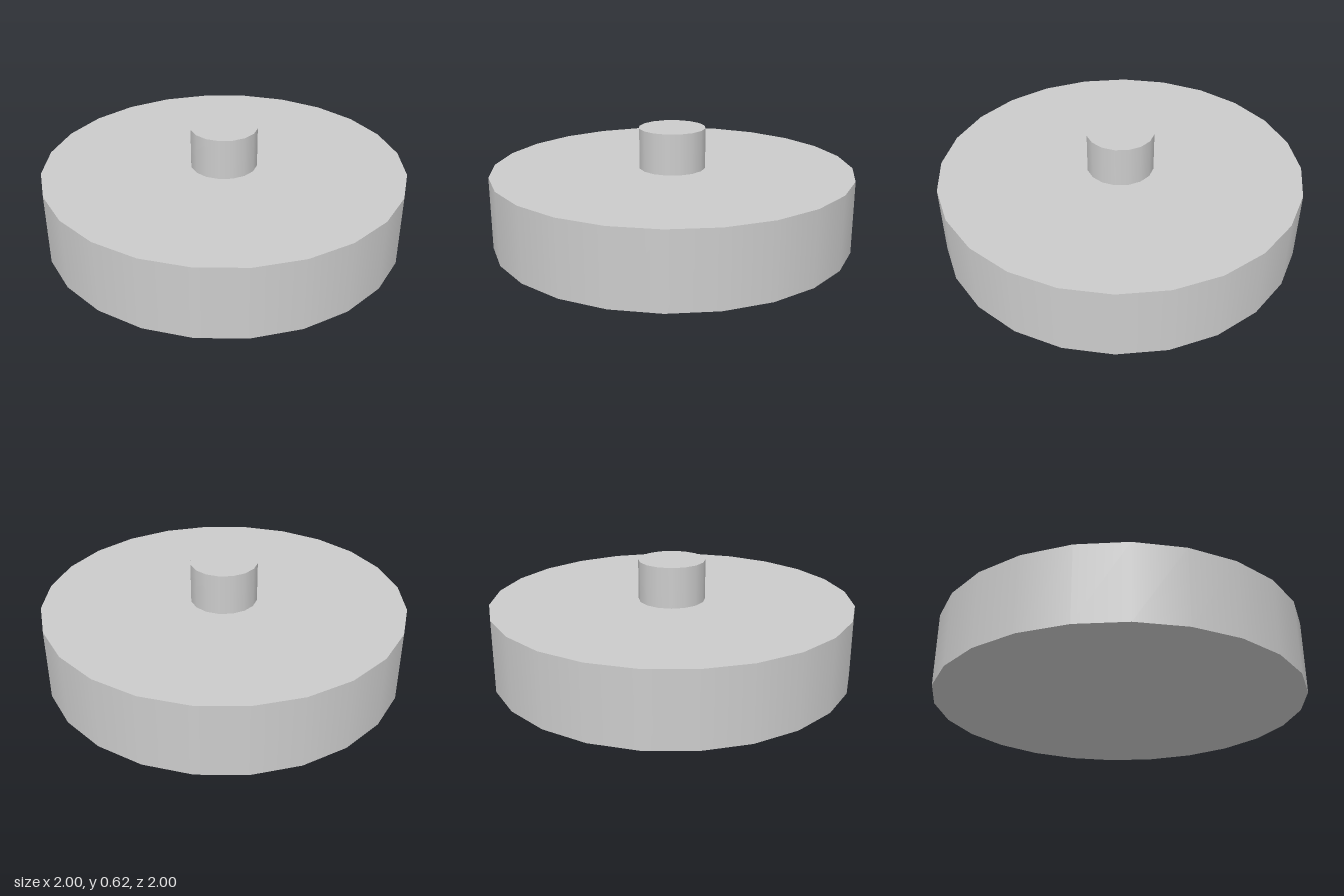
import * as THREE from 'three';

export function createModel() {
  const model = new THREE.Group();
  const material = new THREE.MeshStandardMaterial({ color: 0xcccccc });

  // Upright cylinder standing between two heights
  function addDisc(name, radius, bottom, top, sides) {
    const geometry = new THREE.CylinderGeometry(radius, radius, top - bottom, sides);
    const mesh = new THREE.Mesh(geometry, material);
    mesh.name = name;
    mesh.position.y = (bottom + top) / 2;
    model.add(mesh);
  }

  // Wide round base
  addDisc('base', 1, 0, 0.4, 24);
  // Short central post on top
  addDisc('post', 0.185, 0.4, 0.625, 16);

  return model;
}
